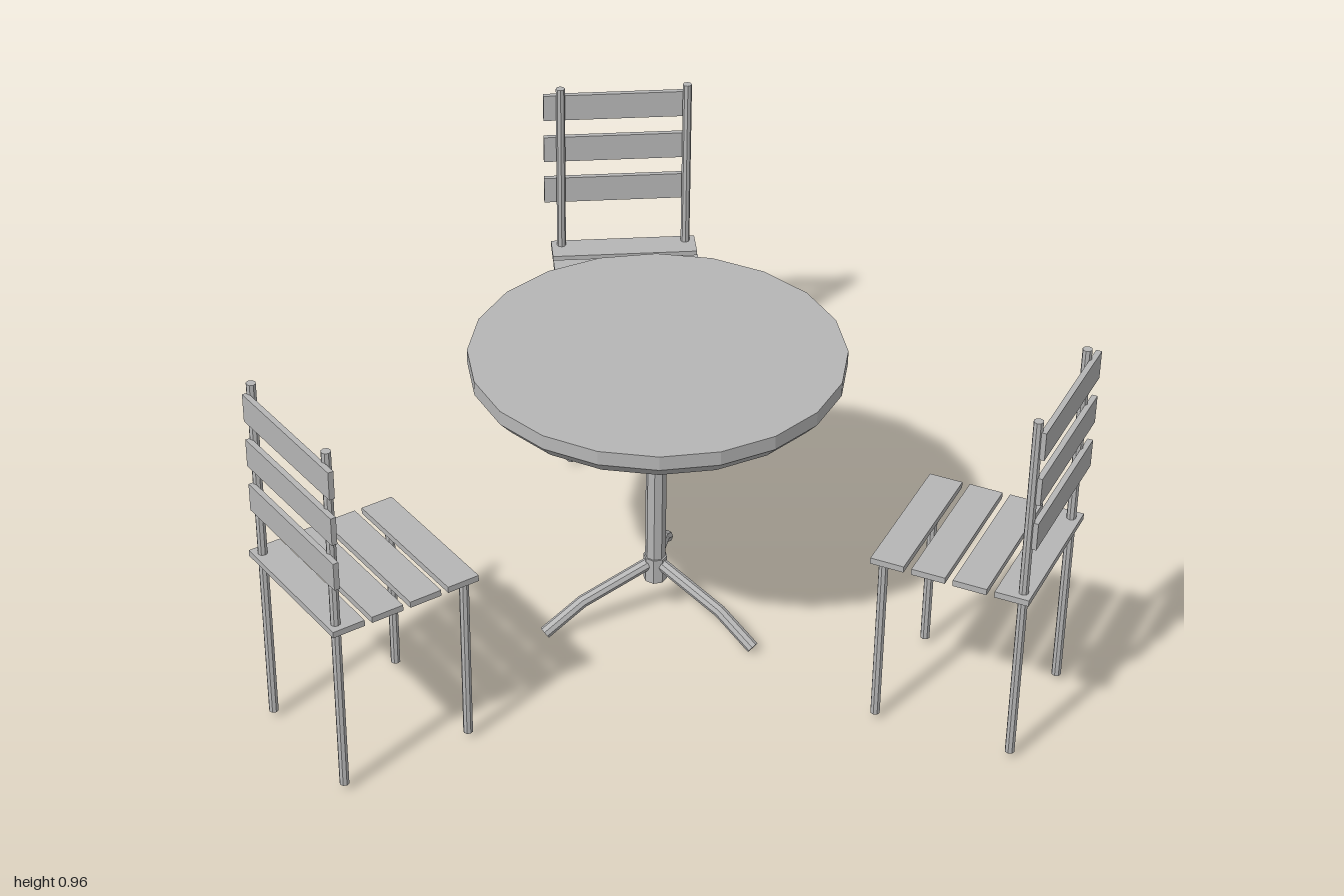
import * as THREE from 'three';

const grey = new THREE.MeshStandardMaterial({ color: 0xb6b6b6, flatShading: true });
grey.name = 'light grey';

const TABLE_Z = -0.167;
const THIRD = (Math.PI * 2) / 3;

function part(parent, name, geometry, x = 0, y = 0, z = 0) {
  const mesh = new THREE.Mesh(geometry, grey);
  mesh.name = name;
  mesh.position.set(x, y, z);
  parent.add(mesh);
  return mesh;
}

// upright rod between two heights
function rod(parent, name, radius, y0, y1, x = 0, z = 0) {
  return part(parent, name, new THREE.CylinderGeometry(radius, radius, y1 - y0, 8), x, (y0 + y1) / 2, z);
}

// bent bar in the XY plane: each ring of a cylinder is moved onto a path point
function bentBar(path, radius) {
  const n = path.length - 1;
  const geometry = new THREE.CylinderGeometry(radius, radius, 1, 8, n);
  const pos = geometry.attributes.position;
  for (let i = 0; i < pos.count; i++) {
    const k = Math.round((0.5 + pos.getY(i)) * n);
    const a = path[Math.max(k - 1, 0)];
    const b = path[Math.min(k + 1, n)];
    const len = Math.hypot(b[0] - a[0], b[1] - a[1]);
    const tx = (b[0] - a[0]) / len;
    const ty = (b[1] - a[1]) / len;
    const side = pos.getX(i);
    pos.setXYZ(i, path[k][0] + side * ty, path[k][1] - side * tx, pos.getZ(i));
  }
  geometry.computeVertexNormals();
  return geometry;
}

function createTable() {
  const table = new THREE.Group();
  table.name = 'table';

  // round top with a chamfered lower edge
  const profile = [[0, 0.705], [0.43, 0.705], [0.46, 0.738], [0.46, 0.775], [0, 0.775]];
  part(table, 'tableTop', new THREE.LatheGeometry(profile.map(([r, y]) => new THREE.Vector2(r, y)), 20));

  // pedestal and its hub
  rod(table, 'column', 0.026, 0.11, 0.71);
  rod(table, 'hub', 0.03, 0.1, 0.17);

  // three splayed feet
  const footShape = bentBar([[0.01, 0.152], [0.2, 0.081], [0.302, 0.0135]], 0.016);
  for (let i = 0; i < 3; i++) {
    part(table, 'tableFoot', footShape).rotation.y = THREE.MathUtils.degToRad(17.5) + i * THIRD;
  }
  return table;
}

function createChair() {
  const chair = new THREE.Group();
  chair.name = 'chair';

  // front legs, and tall posts carrying the backrest
  for (const x of [-0.168, 0.168]) {
    rod(chair, 'frontLeg', 0.012, 0.016, 0.472, x, -0.172);
    rod(chair, 'backPost', 0.012, 0.016, 0.96, x, 0.174);
  }

  // seat slats
  for (let i = 0; i < 4; i++) {
    part(chair, 'seatSlat', new THREE.BoxGeometry(0.39, 0.016, 0.084), 0, 0.478, (i - 1.5) * 0.103);
  }

  // backrest slats, set slightly to one side
  for (let i = 0; i < 3; i++) {
    part(chair, 'backSlat', new THREE.BoxGeometry(0.385, 0.073, 0.014), 0.02, 0.651 + i * 0.1235, 0.189);
  }
  return chair;
}

export function createModel() {
  const model = new THREE.Group();
  model.name = 'tableWithChairs';

  const set = new THREE.Group();
  set.name = 'diningSet';
  set.position.z = TABLE_Z;
  model.add(set);
  set.add(createTable());

  // three chairs evenly around the table, facing it
  for (let i = 0; i < 3; i++) {
    const place = new THREE.Group();
    place.name = 'chairPlace';
    place.rotation.y = -0.024 + i * THIRD;
    const chair = createChair();
    chair.position.z = 0.84;
    place.add(chair);
    set.add(place);
  }
  return model;
}
